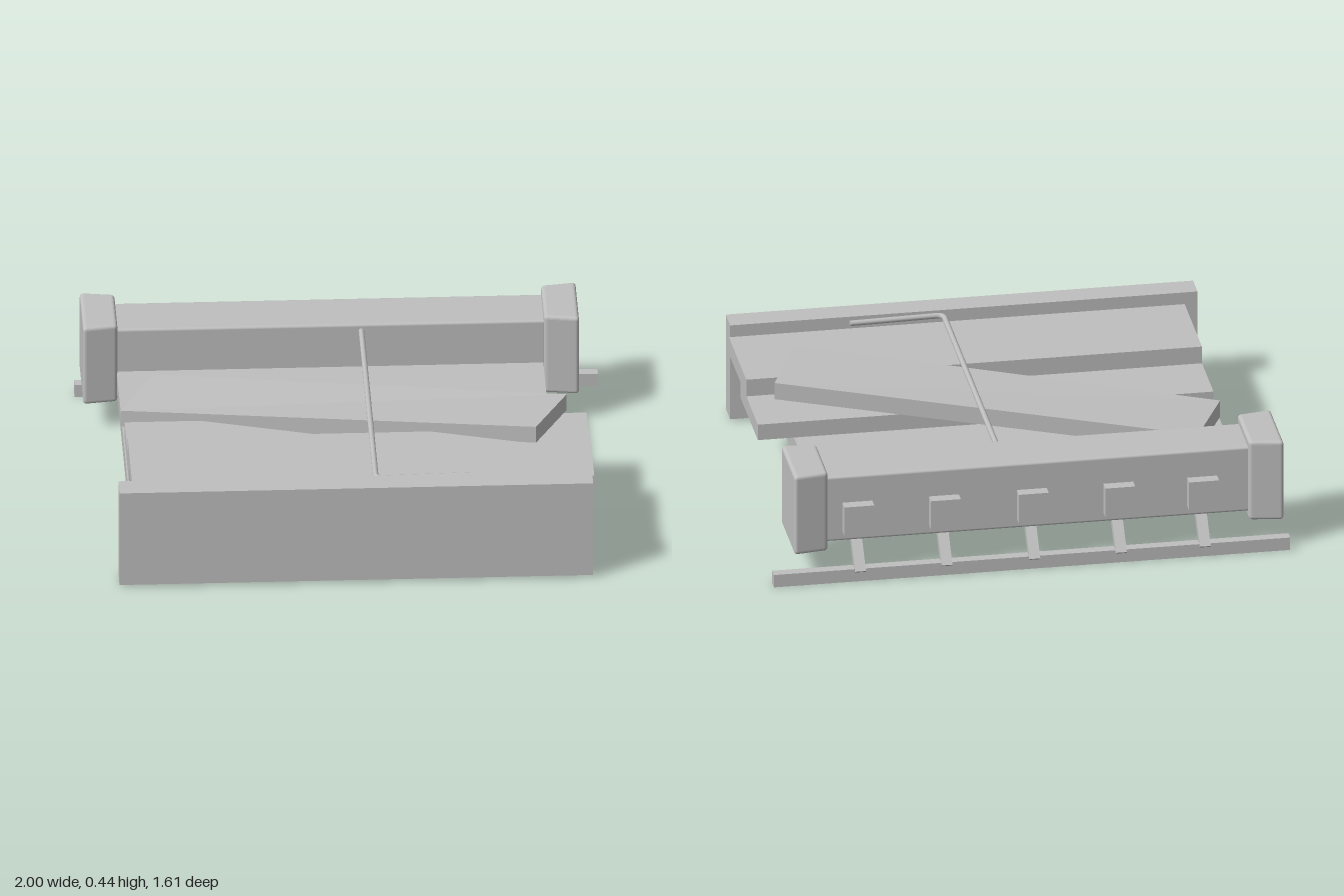
import * as THREE from 'three';
import { RoundedBoxGeometry } from 'three/addons/geometries/RoundedBoxGeometry.js';

export function createModel() {
  const model = new THREE.Group();
  model.name = 'plankBed';
  const grey = new THREE.MeshStandardMaterial({ color: 0xbfbfbf });
  grey.name = 'plain grey';

  const add = (name, geometry) => {
    const mesh = new THREE.Mesh(geometry, grey);
    mesh.name = name;
    model.add(mesh);
    return mesh;
  };
  // Box given by its extents along x, y and z
  const span = (name, x0, x1, y0, y1, z0, z1, radius = 0) => {
    const size = [x1 - x0, y1 - y0, z1 - z0];
    const geometry = radius
      ? new RoundedBoxGeometry(...size, 3, radius)
      : new THREE.BoxGeometry(...size);
    const mesh = add(name, geometry);
    mesh.position.set((x0 + x1) / 2, (y0 + y1) / 2, (z0 + z1) / 2);
    return mesh;
  };

  // Front panel, floor and stacked planks
  span('frontPanel', -0.9, 0.91, 0.01, 0.405, 0.7, 0.8);
  span('floor', -0.85, 0.78, 0.155, 0.235, -0.6, 0.7);
  span('lowerPlank', -0.845, 0.92, 0.235, 0.3, 0.02, 0.41);
  span('upperPlank', -0.845, 0.92, 0.3, 0.37, 0.28, 0.67);

  // Loose plank resting askew: a box whose corners move to x, z and underside height
  const corners = {
    rightBack: [0.84, 0.36, 0.11],
    rightFront: [0.71, 0.375, 0.4],
    leftBack: [-0.72, 0.235, -0.36],
    leftFront: [-0.855, 0.235, -0.07],
  };
  const loose = new THREE.BoxGeometry(1, 1, 1).toNonIndexed();
  const p = loose.attributes.position;
  for (let i = 0; i < p.count; i++) {
    const key = (p.getX(i) > 0 ? 'right' : 'left') + (p.getZ(i) > 0 ? 'Front' : 'Back');
    const [x, y, z] = corners[key];
    p.setXYZ(i, x, y + (p.getY(i) > 0 ? 0.068 : 0), z);
  }
  loose.computeVertexNormals();
  add('loosePlank', loose);

  // Back beam with flared end caps
  span('backBeam', -0.86, 0.79, 0.145, 0.415, -0.74, -0.52, 0.01);
  for (const [side, x0, x1] of [[-1, -0.98, -0.848], [1, 0.782, 0.915]]) {
    const cap = span('beamEndCap', x0, x1, 0.115, 0.445, -0.78, -0.478, 0.014);
    const q = cap.geometry.attributes.position;
    const half = (x1 - x0) / 2;
    for (let i = 0; i < q.count; i++) {
      const inward = (1 - (side * q.getX(i)) / half) / 2;
      q.setZ(i, q.getZ(i) * (1 - 0.14 * inward));
    }
    cap.geometry.computeVertexNormals();
  }

  // Rear rail with slanted struts and square blocks
  span('rearRail', -1, 1, 0, 0.052, -0.805, -0.765);
  for (const x of [-0.67, -0.345, -0.01, 0.33, 0.665]) {
    span('beamBlock', x - 0.058, x + 0.058, 0.185, 0.305, -0.785, -0.735);
    const strut = add('railStrut', new THREE.BoxGeometry(0.042, 0.18, 0.032));
    strut.position.set(x, 0.1, -0.74);
    strut.rotation.x = 0.74;
  }

  // Bent rod running from the beam to the front
  const v = (x, z) => new THREE.Vector3(x, 0.388, z);
  const rod = new THREE.CurvePath();
  rod.add(new THREE.LineCurve3(v(0.085, -0.53), v(0.085, 0.66)));
  rod.add(new THREE.QuadraticBezierCurve3(v(0.085, 0.66), v(0.085, 0.69), v(0.115, 0.689)));
  rod.add(new THREE.LineCurve3(v(0.115, 0.689), v(0.45, 0.677)));
  add('bentRod', new THREE.TubeGeometry(rod, 160, 0.011, 10));
  const tip = add('rodTip', new THREE.CircleGeometry(0.011, 10));
  tip.position.copy(v(0.45, 0.677));
  tip.rotation.y = Math.PI / 2;

  return model;
}
